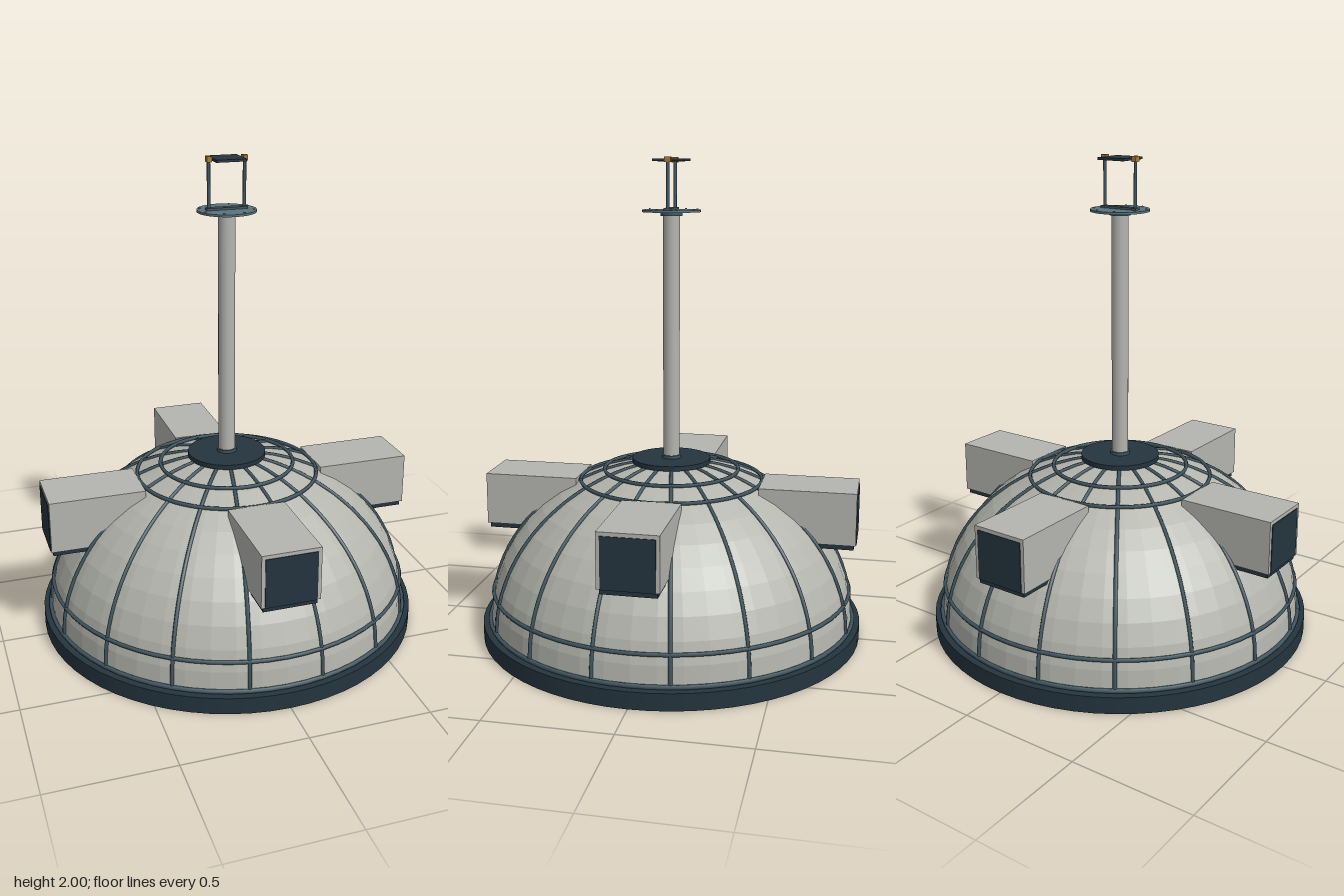
import * as THREE from 'three';

const material = (color, extra = {}) => new THREE.MeshStandardMaterial({ color, ...extra });

export function createModel() {
  const model = new THREE.Group();
  const shell = material(0xb4b6ae, { flatShading: true });
  const hoodGrey = material(0xb4b5b0);
  const dark = material(0x24343e);
  const steel = material(0x40555f);
  const plateBlue = material(0x5a737e);
  const brass = material(0xa87c35);

  const add = (name, geometry, mat, x = 0, y = 0, z = 0, parent = model) => {
    const mesh = new THREE.Mesh(geometry, mat);
    mesh.name = name;
    mesh.position.set(x, y, z);
    parent.add(mesh);
    return mesh;
  };
  const box = (name, w, h, d, mat, x, y, z, parent) =>
    add(name, new THREE.BoxGeometry(w, h, d), mat, x, y, z, parent);
  // Cylinder given by its bottom and top heights
  const disc = (name, r, y0, y1, mat, sides = 48, x = 0, z = 0, parent = model) =>
    add(name, new THREE.CylinderGeometry(r, r, y1 - y0, sides), mat, x, (y0 + y1) / 2, z, parent);
  const ring = (name, r, y, tube) => {
    const mesh = add(name, new THREE.TorusGeometry(r, tube, 6, 64), steel, 0, y, 0);
    mesh.rotation.x = Math.PI / 2;
  };

  // Elliptical dome on a round plinth
  const A = 0.775, B = 0.675, Y0 = 0.07;
  const domePoint = (t, grow = 0) =>
    new THREE.Vector2((A + grow) * Math.cos(t), Y0 + (B + grow) * Math.sin(t));
  disc('basePlinth', 0.81, 0, 0.07, dark, 64);
  const profile = [];
  for (let i = 0; i <= 12; i++) profile.push(domePoint((i / 12) * Math.PI / 2));
  profile[12].x = 0;
  add('dome', new THREE.LatheGeometry(profile, 48), shell);

  // Hoops around the dome
  ring('footRing', 0.78, 0.08, 0.009);
  ring('lowerRing', 0.763, 0.2, 0.008);
  ring('upperRing', 0.385, 0.664, 0.008);
  ring('crownRing', 0.284, 0.707, 0.008);

  // Sixteen meridian ribs
  const ribPoints = [];
  for (let i = 0; i <= 10; i++) {
    const p = domePoint(0.01 + (i / 10) * 1.39, 0.001);
    ribPoints.push(new THREE.Vector3(p.x, p.y, 0));
  }
  const ribGeometry = new THREE.TubeGeometry(new THREE.CatmullRomCurve3(ribPoints), 24, 0.008, 6);
  for (let i = 0; i < 16; i++) {
    add('rib', ribGeometry, steel).rotation.y = (i + 0.5) * Math.PI / 8;
  }

  // Four hooded bays facing outward
  for (let i = 0; i < 4; i++) {
    const bay = new THREE.Group();
    bay.name = 'bay';
    bay.rotation.y = i * Math.PI / 2;
    box('hood', 0.24, 0.22, 0.4, hoodGrey, 0, 0.56, 0.588, bay);
    box('baySill', 0.22, 0.022, 0.39, dark, 0, 0.44, 0.585, bay);
    box('bayPanel', 0.21, 0.205, 0.006, dark, 0, 0.552, 0.788, bay);
    model.add(bay);
  }

  // Crown cap and mast
  disc('crownCap', 0.165, 0.735, 0.755, dark);
  disc('mastFoot', 0.042, 0.755, 0.768, steel, 16);
  disc('mast', 0.035, 0.75, 1.775, hoodGrey, 16);
  disc('mastCollar', 0.045, 1.766, 1.782, steel, 16);

  // Platform with a ring of small bolts
  disc('platform', 0.12, 1.781, 1.79, plateBlue, 32);
  for (let i = 0; i < 8; i++) {
    const a = (i + 0.5) * Math.PI / 4;
    disc('platformBolt', 0.004, 1.79, 1.794, brass, 6, 0.108 * Math.cos(a), 0.108 * Math.sin(a));
  }
  box('postFoot', 0.17, 0.01, 0.03, steel, 0, 1.794, 0);

  // Posts carrying a flat tilting panel on brass pivots
  for (const s of [-1, 1]) {
    disc('post', 0.007, 1.79, 1.985, steel, 10, s * 0.074);
    box('pivot', 0.02, 0.022, 0.026, brass, s * 0.074, 1.989, 0);
  }
  box('pivotAxle', 0.15, 0.007, 0.008, steel, 0, 1.989, 0);
  box('topPanel', 0.124, 0.01, 0.132, dark, 0, 1.988, 0);

  return model;
}
